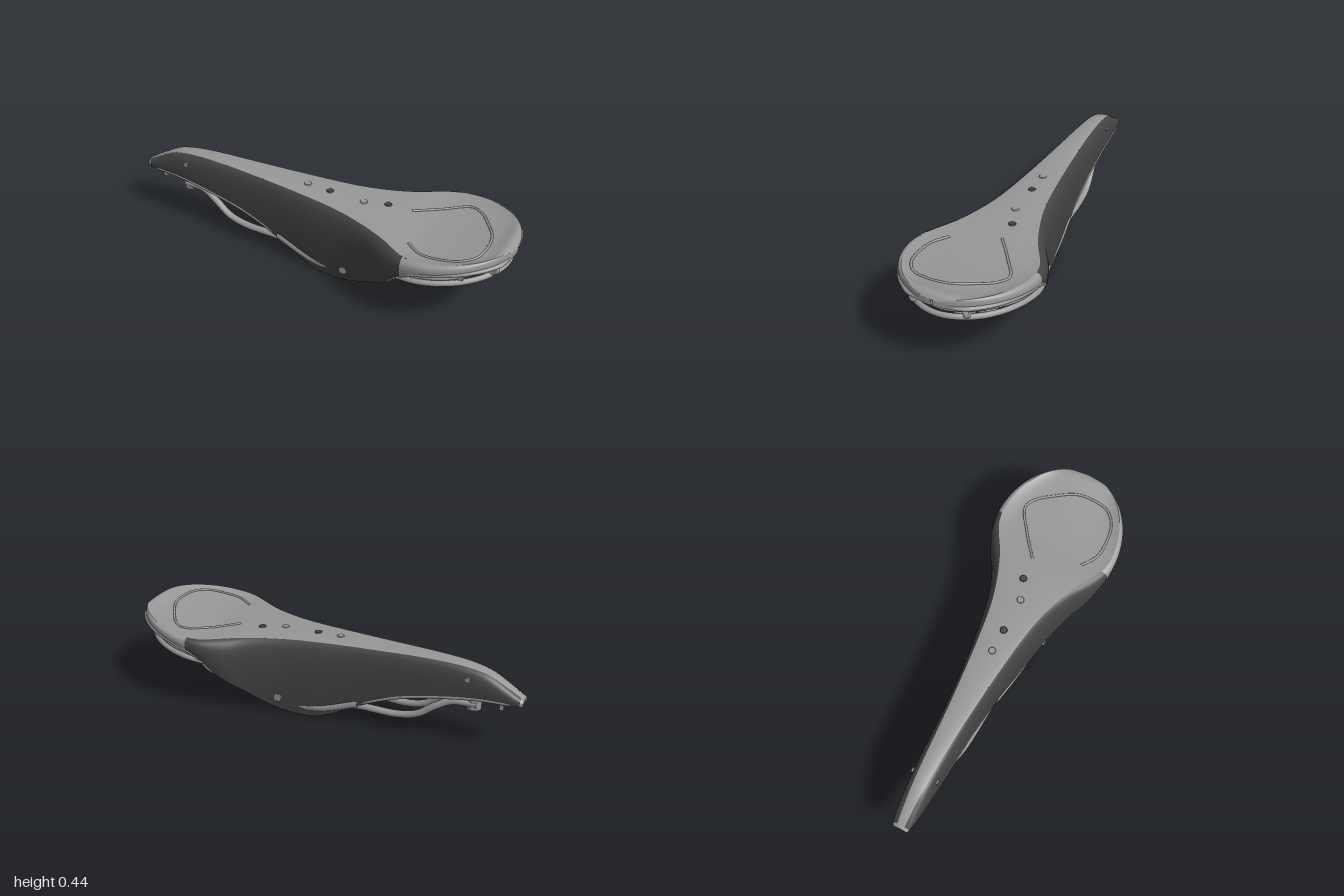
import * as THREE from 'three';

const grey = new THREE.MeshStandardMaterial({ color: 0x979797, side: THREE.DoubleSide });
grey.name = 'light grey';
const dark = new THREE.MeshStandardMaterial({ color: 0x444444, side: THREE.DoubleSide });
dark.name = 'charcoal';

// Smooth interpolation through [x, value] pairs
function curve1(pairs) {
  const slope = (i) => {
    const a = pairs[Math.max(i - 1, 0)], b = pairs[Math.min(i + 1, pairs.length - 1)];
    return (b[1] - a[1]) / (b[0] - a[0]);
  };
  return (x) => {
    let i = 0;
    while (i < pairs.length - 2 && x > pairs[i + 1][0]) i++;
    const [x0, v0] = pairs[i], [x1, v1] = pairs[i + 1];
    const h = x1 - x0, t = Math.min(Math.max((x - x0) / h, 0), 1), t2 = t * t, t3 = t2 * t;
    return (2 * t3 - 3 * t2 + 1) * v0 + (t3 - 2 * t2 + t) * h * slope(i)
      + (3 * t2 - 2 * t3) * v1 + (t3 - t2) * h * slope(i + 1);
  };
}

// Saddle outline: crown height, lower edge, half width, half width of the top panel
const crown = curve1([[-1, .3], [-.95, .333], [-.9, .362], [-.85, .39], [-.8, .408], [-.7, .424], [-.55, .43],
  [-.3, .426], [0, .418], [.3, .407], [.55, .4], [.65, .408], [.75, .42], [.85, .432], [.95, .441], [.98, .438], [1, .42]]);
const lower = curve1([[-1, .272], [-.8, .268], [-.6, .238], [-.4, .19], [-.2, .108], [-.1, .052], [0, .012],
  [.05, .005], [.15, .014], [.25, .05], [.35, .112], [.45, .19], [.55, .295], [.62, .332], [.75, .362], [.88, .38], [1, .388]]);
const noseWidth = curve1([[-1, .035], [-.95, .048], [-.8, .06], [-.6, .07], [-.4, .081], [-.2, .1], [0, .13],
  [.2, .168], [.35, .22], [.45, .277], [.55, .316], [.62, .323]]);
const ellipse = (x, w) => w * Math.sqrt(Math.max(0, 1 - ((x - .62) / .38) ** 2));
const width = (x) => x < .62 ? noseWidth(x) : ellipse(x, .323);
const nosePanel = curve1([[-1, .018], [-.8, .03], [-.4, .055], [0, .095], [.2, .13], [.4, .2], [.55, .283], [.62, .3]]);
const panel = (x) => x < .62 ? nosePanel(x) : ellipse(x, .3);
const tuck = curve1([[-1, 0], [-.4, .002], [.05, .02], [.4, .012], [.62, .004], [1, 0]]);
const hemZ = (x) => Math.max(0, width(x) - tuck(x));
const dish = curve1([[-1, 0], [.4, 0], [.6, .01], [.75, .018], [.9, .015], [.96, 0], [1, 0]]);

// Shell section: |s| 0..1 crosses the top panel, 1..2 runs down the side
function shell(x, s, inset = 0) {
  const a = Math.abs(s), sign = Math.sign(s);
  const wt = Math.max(0, panel(x) - inset), w = Math.max(0, width(x) - inset), zb = Math.max(0, hemZ(x) - inset);
  const top = crown(x) - inset, edge = top - .12 * Math.min(.04, wt), bottom = Math.min(lower(x), edge);
  if (a <= 1) {
    return [x, top - (top - edge) * a * a - dish(x) * (1 - a ** 6), sign * wt * a];
  }
  const t = a - 1, u = 1 - t, c = 2 * w - (wt + zb) / 2;
  const cy = edge - .1 * (edge - bottom);
  return [x, u * u * edge + 2 * u * t * cy + t * t * bottom, sign * (u * u * wt + 2 * u * t * c + t * t * zb)];
}

// Grid surface through cross-sections given by a point rule
function surface(name, material, xs, s0, s1, n, point) {
  const pos = [], index = [];
  xs.forEach((x, i) => {
    for (let j = 0; j <= n; j++) {
      pos.push(...point(x, s0 + (s1 - s0) * j / n));
      if (i && j) {
        const d = i * (n + 1) + j, c = d - 1, b = d - n - 1, a = b - 1;
        index.push(a, b, c, b, d, c);
      }
    }
  });
  const g = new THREE.BufferGeometry();
  g.setAttribute('position', new THREE.Float32BufferAttribute(pos, 3));
  g.setIndex(index);
  g.computeVertexNormals();
  const m = new THREE.Mesh(g, material);
  m.name = name;
  return m;
}

const range = (a, b, n) => Array.from({ length: n + 1 }, (_, i) => a + (b - a) * i / n);
const tail = (a) => range(a, Math.PI / 2 - .01, 32).map((t) => .62 + .38 * Math.sin(t));

export function createModel() {
  const model = new THREE.Group();
  model.name = 'bicycleSaddle';
  const add = (name, geometry, material, x = 0, y = 0, z = 0) => {
    const m = new THREE.Mesh(geometry, material);
    m.name = name;
    m.position.set(x, y, z);
    model.add(m);
    return m;
  };
  const rod = (name, points, r) => add(name, new THREE.TubeGeometry(
    new THREE.CatmullRomCurve3(points.map((p) => new THREE.Vector3(...p))), points.length * 8, r, 10), grey);
  const mirrored = (points) => [...points, ...points.slice().reverse().filter((p) => p[2] !== 0).map(([x, y, z]) => [x, y, -z])];
  const outer = (x, s) => shell(x, s), inner = (x, s) => shell(x, s, .016);

  // Leather shell: pale top, nose tip and tail lip, dark flanks
  const allXs = [...range(-1, .6, 72), ...tail(0)];
  model.add(surface('topPanel', grey, allXs, -1, 1, 28, outer));
  for (const [side, a, b, end] of [['left', 1, 2, .555], ['right', -2, -1, .62]]) {
    model.add(surface(side + 'NoseTip', grey, range(-1, -.985, 2), a, b, 14, outer));
    model.add(surface(side + 'Flank', dark, range(-.985, end, 70), a, b, 14, outer));
    model.add(surface(side + 'RearLip', grey, tail(Math.asin((end - .62) / .38)), a, b, 14, outer));
    // Pale turned edge inside the skirt
    const s = Math.sign(a);
    model.add(surface(side + 'InnerEdge', grey, range(-.2, .6, 40), s * 1.91, s * 1.98, 3, inner));
  }
  model.add(surface('lining', dark, allXs.filter((x) => x < .97), -1.91, 1.91, 52, inner));
  // Underside web between the flanks of the nose
  model.add(surface('noseWeb', dark, range(-.85, -.13, 24), -1, 1, 4, (x, s) => [x, lower(x) + .018, s * (hemZ(x) - .005)]));

  // Rolled hem along the lower edge
  const hemIn = curve1([[-1, .009], [-.3, .009], [-.1, .014], [.4, .014], [.6, .008], [1, .008]]);
  const hem = allXs.filter((x, i) => i % 3 === 0 && x < .975).map((x) => [x + .005, lower(x) + .007, hemZ(x) - hemIn(x)]);
  rod('hem', mirrored([...hem, [.985, .395, 0]]), .012);

  // Outline of the dished seat area
  const seam = [[.46, -.05], [.58, -.14], [.7, -.21], [.76, -.18], [.82, -.1], [.87, -.01], [.88, .08], [.86, .17],
    [.8, .22], [.72, .237], [.62, .23], [.54, .18]].map(([x, z]) => [x, shell(x, z / panel(x))[1] + .001, z]);
  rod('seatSeam', seam, .006);

  // Rivets on the top and sides
  for (const [x, z, mat] of [[-.07, 0, grey], [.05, 0, dark], [.23, 0, grey], [.34, -.04, dark]]) {
    add('topRivet', new THREE.CylinderGeometry(.016, .02, .006, 16), mat, x, shell(x, z / panel(x))[1] + .001, z);
  }
  for (const s of [-1, 1]) {
    for (const [x, t, r] of [[-.74, 1.5, .012], [.2, 1.9, .02]]) {
      const p = shell(x, s * t);
      add('sideRivet', new THREE.CylinderGeometry(r, r, .012, 14), grey, ...p).rotation.x = Math.PI / 2;
    }
  }

  // Undercarriage: inner rails joined in a loop at the back
  rod('innerRails', mirrored([[-.78, .225, .02], [-.66, .22, .03], [-.58, .18, .045], [-.5, .125, .055], [-.4, .1, .06],
    [-.2, .1, .07], [.05, .075, .08], [.3, .078, .075], [.55, .092, .065], [.65, .105, .058], [.69, .14, .06],
    [.72, .23, .068], [.74, .28, .05], [.745, .292, 0]]), .018);
  for (const s of [-1, 1]) {
    // Outer rails rising to the tail
    rod('outerRail', [[-.2, .12, .075 * s], [0, .06, .098 * s], [.2, .065, .118 * s], [.35, .13, .125 * s],
      [.55, .235, .125 * s], [.72, .305, .125 * s], [.8, .335, .125 * s], [.9, .365, .12 * s]], .024);
    // Tail hangers
    rod('tailHanger', [[.93, .385, .13 * s], [.95, .35, .13 * s], [.9, .315, .125 * s], [.82, .31, .12 * s]], .013);
  }
  rod('railBridge', [[-.14, .085, -.085], [-.14, .078, 0], [-.14, .085, .085]], .014);

  // Tail frame following the back of the shell
  rod('tailFrame', mirrored([[.54, .285, .295], [.62, .295, .305], [.72, .303, .285], [.82, .31, .235], [.9, .315, .16], [.95, .322, .08], [.965, .322, 0]]), .014);
  rod('tailPlateRod', mirrored([[.6, .31, .295], [.75, .33, .265], [.87, .345, .18], [.93, .345, .08], [.945, .345, 0]]), .011);
  add('tailPlate', new THREE.BoxGeometry(.04, .035, .24), grey, .86, .34, 0);
  add('tailBracket', new THREE.BoxGeometry(.06, .03, .09), grey, .8, .342, .2);

  // Rear post with its clamp bolt
  rod('rearPost', [[.69, .11, 0], [.73, .19, 0], [.76, .27, 0]], .015);
  rod('strapLoop', [[.66, .082, -.01], [.67, .09, .035], [.73, .15, .055], [.77, .25, .045]], .012);
  add('clampBolt', new THREE.CylinderGeometry(.02, .02, .1, 16), grey, .79, .265, 0).rotation.z = Math.PI / 2;

  // Nose fittings
  add('noseBolt', new THREE.CylinderGeometry(.036, .036, .055, 18), grey, -.76, .222, 0);
  add('noseBracket', new THREE.BoxGeometry(.2, .03, .06), grey, -.84, .272, 0);
  for (const s of [-1, 1]) {
    add('noseTab', new THREE.BoxGeometry(.02, .04, .014), grey, -.9, .25, .025 * s);
  }
  return model;
}
